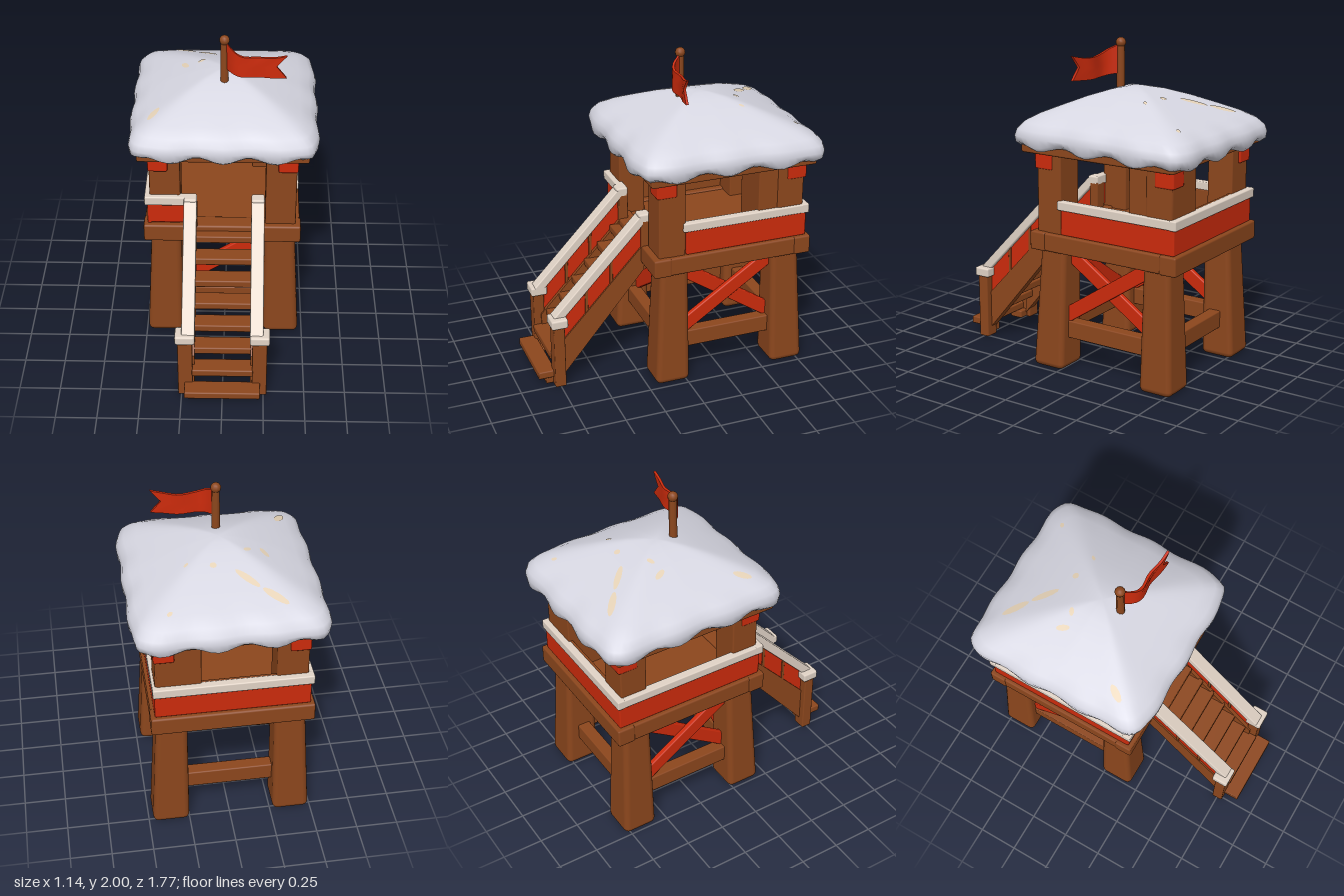
import * as THREE from 'three';
import { RoundedBoxGeometry } from 'three/addons/geometries/RoundedBoxGeometry.js';
import { mergeVertices } from 'three/addons/utils/BufferGeometryUtils.js';

const mat = (name, color) => Object.assign(new THREE.MeshStandardMaterial({ color }), { name });

export function createModel() {
  const model = new THREE.Group();
  model.name = 'watchtower';
  const wood = mat('brown wood', 0x8d471d);
  const red = mat('red paint', 0xcd2b0c);
  const snow = mat('snow', 0xd7d7e2);
  const cream = mat('pale rail', 0xe2d4c7);
  const tan = mat('bare tan patch', 0xe6d3b8);

  const add = (name, geometry, material) => {
    const mesh = new THREE.Mesh(geometry, material);
    mesh.name = name;
    model.add(mesh);
    return mesh;
  };
  // Softly bevelled box from its extents
  const box = (name, material, x0, x1, y0, y1, z0, z1, r = 0.008) => {
    const mesh = add(name, new RoundedBoxGeometry(x1 - x0, y1 - y0, z1 - z0, 1, r), material);
    mesh.position.set((x0 + x1) / 2, (y0 + y1) / 2, (z0 + z1) / 2);
    return mesh;
  };
  // Beam between two points
  const beam = (name, material, a, b, height, depth) => {
    const p = new THREE.Vector3(...a), q = new THREE.Vector3(...b);
    const mesh = add(name, new RoundedBoxGeometry(depth, height, p.distanceTo(q), 1, 0.008), material);
    mesh.position.copy(p).add(q).multiplyScalar(0.5);
    mesh.lookAt(q);
  };
  // Upright plate from a (z, y) outline, spanning x0 to x1
  const plate = (name, material, points, x0, x1) => {
    const shape = new THREE.Shape(points.map(([z, y]) => new THREE.Vector2(z, y)));
    const g = new THREE.ExtrudeGeometry(shape, { depth: x1 - x0, bevelEnabled: false });
    add(name, g.rotateY(-Math.PI / 2).translate(x1, 0, 0), material);
  };

  const cx = -0.008, cz = -0.295;

  // Legs, posts and red post caps at the four corners
  for (const sx of [-1, 1]) for (const sz of [-1, 1]) {
    const g = new RoundedBoxGeometry(0.225, 0.78, 0.218, 2, 0.035);
    const p = g.attributes.position;
    for (let i = 0; i < p.count; i++) {
      const t = (p.getY(i) + 0.39) / 0.78;
      if (p.getX(i) * sx > 0) p.setX(i, p.getX(i) - sx * 0.04 * t);
      if (p.getZ(i) * sz > 0) p.setZ(i, p.getZ(i) - sz * 0.04 * t);
    }
    add('leg', g, wood).position.set(cx + sx * 0.371, 0.395, cz + sz * 0.383);

    const wide = sx > 0 && sz < 0;
    const post = box('roofPost', wood, -0.094, 0.094, 0.82, 1.37, -0.085, 0.085, 0.01);
    post.position.set(cx + sx * 0.352, 1.095, cz + sz * 0.382);
    if (wide) box('cornerWall', wood, 0.17, 0.43, 0.84, 1.37, -0.765, -0.47);
    const cap = box('postCap', red, -0.06, 0.06, 1.245, 1.352, -0.063, 0.063, 0.01);
    cap.position.x = cx + sx * 0.392;
    cap.position.z = cz + sz * 0.418;
  }

  // Platform floor with a beam frame around it
  box('floor', wood, -0.45, 0.43, 0.78, 0.85, -0.76, 0.16);
  for (const [z0, z1] of [[0.1, 0.21], [-0.81, -0.7]]) box('floorBeam', wood, -0.495, 0.47, 0.745, 0.862, z0, z1, 0.012);
  for (const [x0, x1] of [[-0.49, -0.38], [0.36, 0.465]]) box('floorBeam', wood, x0, x1, 0.747, 0.86, -0.8, 0.2, 0.012);

  // Lower beams and crossed braces between the legs
  for (const x of [-0.38, 0.36]) {
    box('lowerBeam', wood, x - 0.04, x + 0.04, 0.2, 0.31, -0.58, 0.02);
    beam('crossBrace', red, [x + 0.015, 0.325, 0.02], [x + 0.015, 0.74, -0.6], 0.09, 0.035);
    beam('crossBrace', red, [x - 0.015, 0.325, -0.6], [x - 0.015, 0.74, 0.02], 0.09, 0.035);
  }
  for (const z of [-0.66, 0.08]) box('lowerBeam', wood, -0.3, 0.28, 0.2, 0.31, z - 0.04, z + 0.04);
  beam('frontBrace', red, [-0.29, 0.33, 0.05], [0.28, 0.71, 0.05], 0.1, 0.035);

  // Railings: red boards outside, wood inside, pale rail on top
  box('backBoard', red, -0.47, 0.445, 0.86, 1.02, -0.785, -0.755);
  box('backLining', wood, -0.44, 0.42, 0.85, 1.07, -0.756, -0.735);
  box('backRail', cream, -0.485, 0.455, 1.01, 1.07, -0.8, -0.75);
  box('rightBoard', red, -0.47, -0.445, 0.86, 1.02, -0.78, 0.18);
  box('rightLining', wood, -0.446, -0.425, 0.85, 1.02, -0.76, 0.16);
  box('rightRail', cream, -0.485, -0.43, 1.012, 1.068, -0.79, 0.2);
  box('leftBoard', red, 0.42, 0.445, 0.86, 1.02, -0.78, 0);
  box('leftLining', wood, 0.4, 0.422, 0.85, 1.02, -0.76, 0);
  box('leftRail', cream, 0.405, 0.455, 1.012, 1.068, -0.79, 0.02);
  box('frontBoard', red, -0.47, -0.2, 0.87, 1.02, 0.16, 0.185);
  box('frontRail', cream, -0.485, -0.17, 1.01, 1.07, 0.15, 0.205);

  // Stair sides with newel posts and sloping handrails
  for (const s of [-1, 1]) {
    const x = s * 0.205, at = (a, b) => [x + Math.min(a * s, b * s), x + Math.max(a * s, b * s)];
    plate('stringer', wood, [[0.74, 0.04], [0.74, 0.28], [0.19, 0.87], [0.19, 0.7]], ...at(-0.035, 0.025));
    plate('stairPanel', red, [[0.74, 0.27], [0.74, 0.45], [0.2, 1.04], [0.2, 0.85]], ...at(-0.012, 0.015));
    for (const z of [0.4, 0.56]) {
      const y = 0.87 + (0.19 - z) * 1.073;
      box('panelBatten', wood, x - 0.02, x + 0.02, y - 0.03, y + 0.17, z - 0.01, z + 0.01, 0.003);
    }
    box('stairTopPost', wood, x - 0.04, x + 0.04, 0.84, 1.03, 0.15, 0.21);
    beam('handrail', cream, [x, 0.45, 0.76], [x, 1.04, 0.2], 0.055, 0.08);
    box('handrailEnd', cream, x - 0.04, x + 0.04, 1.005, 1.07, 0.15, 0.225, 0.012);
    box('newelPost', wood, s * 0.225 - 0.045, s * 0.225 + 0.045, 0.005, 0.43, 0.715, 0.785);
    box('newelCap', cream, s * 0.225 - 0.06, s * 0.225 + 0.06, 0.415, 0.475, 0.695, 0.8, 0.012);
    box('stairFoot', wood, s * 0.165 - 0.05, s * 0.165 + 0.05, 0.01, 0.06, 0.74, 0.83);
  }

  // Treads
  for (let i = 0; i < 8; i++) {
    const y = 0.082 + i * 0.103, z = 0.825 - i * 0.087, w = i ? 0.185 : 0.23;
    box('tread', wood, -w, w, y - 0.024, y + 0.024, z - 0.055, z + 0.055);
  }

  // Roof deck under the snow
  box('roofDeck', wood, -0.52, 0.505, 1.348, 1.41, -0.81, 0.24, 0.012);

  // Snow: rounded-square rings from the underside, round the eave, up to the peak
  const rings = [[0, 1.4], [0.86, 1.4], [0.95, 1.39], [0.99, 1.41], [1, 1.45], [0.98, 1.49],
    [0.92, 1.53], [0.8, 1.57], [0.62, 1.615], [0.42, 1.663], [0.22, 1.702], [0.09, 1.717], [0, 1.72]];
  const n = 96, pos = [], index = [];
  rings.forEach(([s, y], r) => {
    for (let i = 0; i < n; i++) {
      const side = Math.floor(i / (n / 4)), t = (i % (n / 4)) / (n / 4) * 2 - 1;
      const [a, b] = [[t, 1], [1, -t], [-t, -1], [-1, t]][side];
      const k = Math.pow(Math.abs(a) ** 10 + Math.abs(b) ** 10, -0.1);
      const eave = r > 0 && r < 7 ? 1 : 0;
      const wave = Math.cos(t * Math.PI * 3.5 + side * 0.9) * (1 - t ** 6);
      const size = s * (1 + eave * 0.012 * wave);
      const droop = r > 0 && r < 4 ? -0.018 * wave : 0;
      const back = -0.02 * s * Math.max(0, -b);
      pos.push(-0.005 + a * k * size * 0.565, y + droop + back, -0.25 - 0.035 * s + b * k * size * 0.597);
      if (r < rings.length - 1) {
        const j = (i + 1) % n, p = r * n;
        index.push(p + i, p + j, p + n + i, p + j, p + n + j, p + n + i);
      }
    }
  });
  let snowGeo = new THREE.BufferGeometry();
  snowGeo.setAttribute('position', new THREE.Float32BufferAttribute(pos, 3));
  snowGeo.setIndex(index);
  snowGeo = mergeVertices(snowGeo, 1e-5);
  snowGeo.computeVertexNormals();
  const snowRoof = add('snowRoof', snowGeo, snow);

  // Thin tan patches laid on the snow: x, z, half length, half width, turn
  const down = new THREE.Vector3(0, -1, 0);
  for (const [x, z, l, w, turn] of [[-0.26, -0.69, 0.085, 0.022, -0.68], [-0.12, -0.57, 0.085, 0.02, -0.75],
    [-0.25, -0.37, 0.04, 0.017, -1.1], [-0.15, -0.37, 0.025, 0.014, 0.5], [0.06, -0.47, 0.02, 0.018, 0],
    [0.21, -0.44, 0.018, 0.01, 0.8], [-0.42, 0.08, 0.055, 0.022, 1.0], [0.34, -0.74, 0.018, 0.012, 0.6]]) {
    const g = new THREE.CircleGeometry(1, 12).rotateX(-Math.PI / 2).scale(l, 1, w).rotateY(turn).translate(x, 0, z);
    const p = g.attributes.position;
    for (let i = 0; i < p.count; i++) {
      const ray = new THREE.Raycaster(new THREE.Vector3(p.getX(i), 3, p.getZ(i)), down);
      p.setY(i, ray.intersectObject(snowRoof)[0].point.y + 0.004);
    }
    g.computeVertexNormals();
    add('snowPatch', g, tan);
  }

  // Flagpole with a ball on top
  add('flagpole', new THREE.CylinderGeometry(0.023, 0.026, 0.36, 10), wood).position.set(-0.005, 1.79, -0.13);
  add('poleBall', new THREE.SphereGeometry(0.031, 12, 8), wood).position.set(-0.005, 1.969, -0.13);

  // Waving swallow-tailed flag
  const flag = new THREE.BoxGeometry(1, 1, 1, 14, 2, 1);
  const fp = flag.attributes.position;
  const drift = new THREE.CatmullRomCurve3([[0, -0.13], [0.05, -0.07], [0.1, -0.05], [0.2, -0.058], [0.29, -0.038], [0.37, -0.03]]
    .map(([x, z]) => new THREE.Vector3(x, 0, z)));
  for (let i = 0; i < fp.count; i++) {
    const u = fp.getX(i) + 0.5, v = fp.getY(i) * 2;
    const d = drift.getPoint(u * (Math.abs(v) < 0.1 ? 0.83 : 0.98));
    const y = 1.875 - 0.03 * Math.sin(u * Math.PI) - 0.025 * u + v * (0.088 - 0.015 * Math.sin(u * Math.PI) - 0.015 * u);
    fp.setXYZ(i, d.x, y, d.z + fp.getZ(i) * 0.016);
  }
  flag.computeVertexNormals();
  add('flag', flag, red);

  return model;
}
